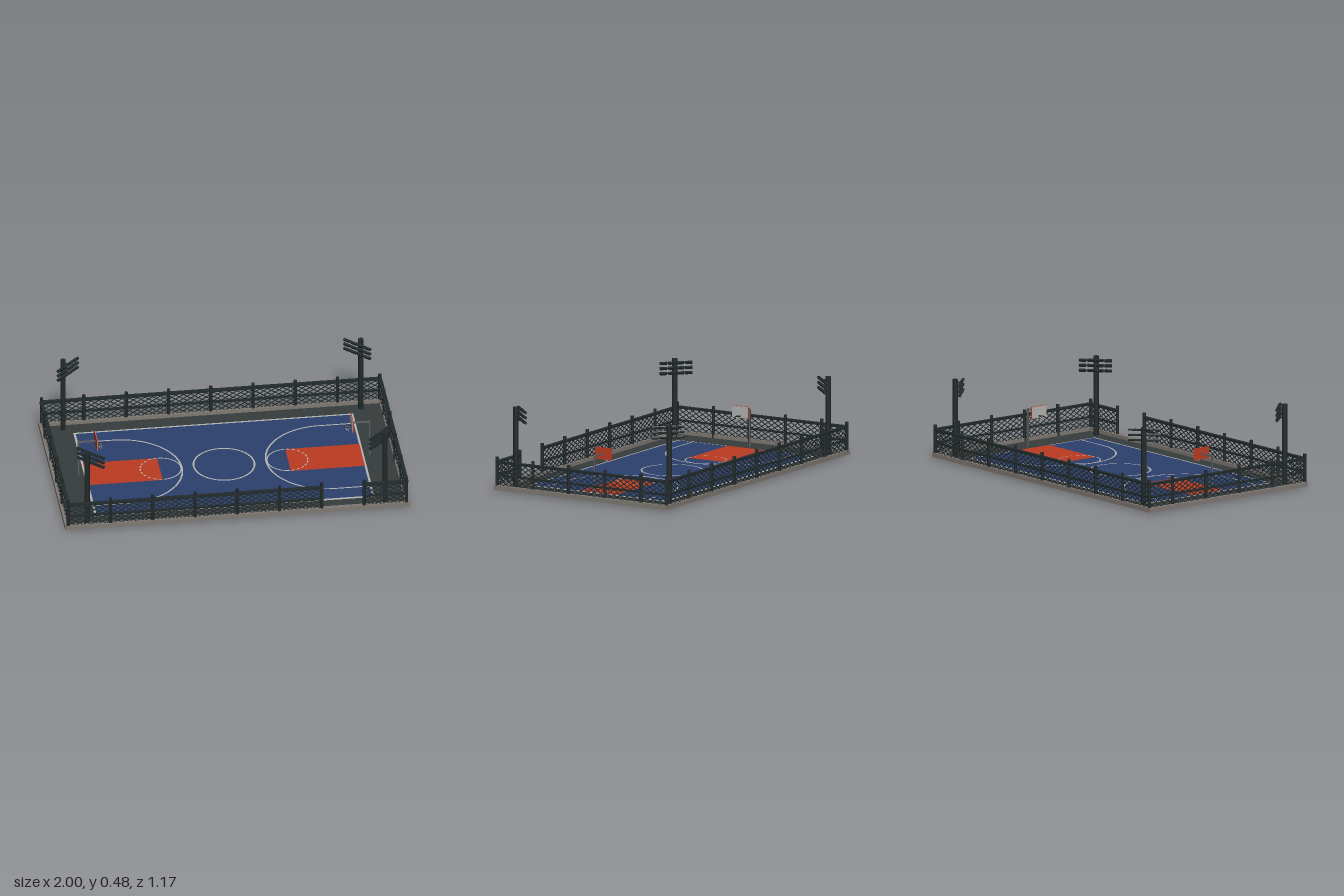
import * as THREE from 'three';
import { mergeGeometries } from 'three/addons/utils/BufferGeometryUtils.js';

const mat = (name, color) => {
  const m = new THREE.MeshStandardMaterial({ color });
  m.name = name;
  return m;
};

export function createModel() {
  const asphalt = mat('asphalt', 0x363c3c);
  const blue = mat('courtBlue', 0x2b406e);
  const orange = mat('keyOrange', 0xbc3b22);
  const white = mat('lineWhite', 0xb4b4b2);
  const concrete = mat('concrete', 0x7f7972);
  const iron = mat('darkIron', 0x222a2b);
  const steel = mat('greySteel', 0x5c6060);

  const model = new THREE.Group();
  model.name = 'basketballCourt';

  const add = (parent, name, geo, material) => {
    const m = new THREE.Mesh(geo, material);
    m.name = name;
    parent.add(m);
    return m;
  };
  const group = (name, parent = model) => {
    const g = new THREE.Group();
    g.name = name;
    parent.add(g);
    return g;
  };
  const box = (w, h, d, x, y, z) => new THREE.BoxGeometry(w, h, d).translate(x, y, z);
  const flat = (w, d, x, y, z) => new THREE.PlaneGeometry(w, d).rotateX(-Math.PI / 2).translate(x, y, z);
  const arc = (r, x, y, start, length, seg = 48, w = 0.01) =>
    new THREE.RingGeometry(r - w / 2, r + w / 2, seg, 1, start, length).rotateX(-Math.PI / 2).translate(x, y, 0);
  const pole = (r, h, x, z, seg = 12) => new THREE.CylinderGeometry(r, r, h, seg).translate(x, h / 2, z);

  // Ground slab and concrete curb
  const X = 1, Z = 0.585, CURB = 0.024;
  add(model, 'ground', box(1.97, 0.005, 1.14, 0, 0.0115, 0), asphalt);
  const curbs = [];
  for (const s of [-1, 1]) {
    curbs.push(box(2 * X, 0.026, CURB, 0, 0.022, s * (Z - CURB / 2)));
    curbs.push(box(CURB, 0.026, 2 * (Z - CURB), s * (X - CURB / 2), 0.022, 0));
  }
  add(model, 'curb', mergeGeometries(curbs), concrete);

  // Playing surface: white border showing around the blue field
  const court = group('court');
  add(court, 'borderLine', flat(1.626, 0.932, 0, 0.0155, 0), white);
  add(court, 'blueField', flat(1.6, 0.902, 0, 0.017, 0), blue);
  add(court, 'centreCircle', arc(0.176, 0, 0.02, 0, Math.PI * 2, 64), white);

  // One end of the court with markings and hoop, made for +x and turned for -x
  for (const s of [1, -1]) {
    const end = group(s > 0 ? 'leftEnd' : 'rightEnd');
    end.rotation.y = s > 0 ? 0 : Math.PI;
    add(end, 'key', flat(0.43, 0.244, 0.587, 0.0185, 0), orange);

    const lines = [
      arc(0.35, 0.595, 0.02, Math.PI / 2, Math.PI),
      arc(0.118, 0.368, 0.02, Math.PI / 2, Math.PI, 32, 0.008),
      flat(0.207, 0.01, 0.6985, 0.02, 0.35),
      flat(0.207, 0.01, 0.6985, 0.02, -0.35),
    ];
    const dashes = 11;
    for (let i = 0; i < dashes; i++) {
      const step = Math.PI / dashes;
      lines.push(arc(0.118, 0.368, 0.0205, -Math.PI / 2 + (i + 0.2) * step, step * 0.6, 3, 0.008));
    }
    add(end, 'courtLines', mergeGeometries(lines), white);

    // Hoop stand, backboard, rim and net
    const hoop = group('hoop', end);
    add(hoop, 'hoopPole', pole(0.005, 0.243, 0.845, 0), steel);
    add(hoop, 'hoopArm', box(0.1, 0.008, 0.008, 0.796, 0.239, 0), steel);
    add(hoop, 'backboard', box(0.004, 0.07, 0.112, 0.744, 0.239, 0), orange);
    add(hoop, 'backboardFace', box(0.002, 0.066, 0.106, 0.741, 0.239, 0), white);
    add(hoop, 'rimBracket', box(0.012, 0.005, 0.01, 0.735, 0.217, 0), iron);
    const rim = add(hoop, 'rim', new THREE.TorusGeometry(0.014, 0.0022, 6, 20), iron);
    rim.rotation.x = Math.PI / 2;
    rim.position.set(0.717, 0.217, 0);

    const cords = [];
    for (let i = 0; i < 10; i++) {
      for (const twist of [-1, 1]) {
        const a = (i / 10) * Math.PI * 2, b = a + twist * 0.7;
        const path = new THREE.LineCurve3(
          new THREE.Vector3(Math.cos(a) * 0.014, 0.217, Math.sin(a) * 0.014),
          new THREE.Vector3(Math.cos(b) * 0.008, 0.19, Math.sin(b) * 0.008));
        cords.push(new THREE.TubeGeometry(path, 1, 0.0008, 4));
      }
    }
    add(hoop, 'net', mergeGeometries(cords), white).position.x = 0.717;
  }

  // Fence run along local x from a to b, with diamond wire clipped to its ends
  const LOW = 0.035, HIGH = 0.168;
  function fenceRun(parent, a, b) {
    const mid = (a + b) / 2, len = b - a;
    const rails = [box(len, 0.014, 0.022, mid, 0.171, 0), box(len, 0.011, 0.012, mid, 0.094, 0)];
    add(parent, 'fenceRails', mergeGeometries(rails), iron);

    const wires = [], pitch = 0.0445, slope = 0.62, run = (HIGH - LOW) / slope;
    for (let x0 = Math.floor((a - run) / pitch) * pitch; x0 < b; x0 += pitch) {
      const x1 = Math.max(a, x0), x2 = Math.min(b, x0 + run);
      if (x2 - x1 < 0.004) continue;
      const dx = x2 - x1, dy = dx * slope;
      const cy = LOW + ((x1 + x2) / 2 - x0) * slope;
      for (const dir of [1, -1]) {
        const y = dir > 0 ? cy : LOW + HIGH - cy;
        wires.push(new THREE.BoxGeometry(Math.hypot(dx, dy), 0.0042, 0.004)
          .rotateZ(dir * Math.atan(slope)).translate((x1 + x2) / 2, y, 0));
      }
    }
    add(parent, 'fenceWire', mergeGeometries(wires), iron);
  }
  function fenceSide(name, posts, runs, x, z, turn) {
    const side = group(name);
    side.position.set(x, 0, z);
    side.rotation.y = turn;
    const shafts = posts.map((p) => pole(0.0095, 0.2, p, 0).scale(1, 0.95, 1).translate(0, 0.01, 0));
    add(side, 'fencePosts', mergeGeometries(shafts), iron);
    runs.forEach(([a, b]) => fenceRun(side, a, b));
  }
  const FX = 0.983, FZ = 0.574;
  const longPosts = [-4, -3, -2, -1, 0, 1, 2, 3, 4].map((i) => i * 0.2455);
  const shortPosts = [-FZ, -0.331, -0.088, 0.158, 0.404, FZ];
  fenceSide('backFence', longPosts, [[-FX, FX]], 0, -FZ, 0);
  // The front has an open gateway between two posts
  fenceSide('frontFence', longPosts, [[-FX, longPosts[6]], [longPosts[7], FX]], 0, FZ, 0);
  for (const s of [-1, 1]) {
    fenceSide(s > 0 ? 'leftFence' : 'rightFence', shortPosts, [[-FZ, FZ]], s * FX, 0, Math.PI / 2);
  }

  // Corner floodlights facing the middle of the court
  for (const sx of [-1, 1]) {
    for (const sz of [-1, 1]) {
      const light = group('floodlight');
      light.position.set(sx * 0.865, 0, sz * 0.52);
      light.rotation.y = Math.atan2(-sx, -sz);
      add(light, 'lightPole', pole(0.0155, 0.48, 0, 0, 16), iron);
      for (const y of [0.4, 0.43, 0.46]) {
        add(light, 'lampArm', box(0.012, 0.008, 0.03, 0, y, 0.018), iron);
        add(light, 'lampBar', box(0.19, 0.008, 0.008, 0, y, 0.03), iron);
        for (let i = 0; i < 4; i++) {
          const lamp = add(light, 'lamp', new THREE.BoxGeometry(0.042, 0.014, 0.013), iron);
          lamp.position.set((i - 1.5) * 0.05, y, 0.036);
          lamp.rotation.x = 0.4;
        }
      }
    }
  }
  return model;
}
